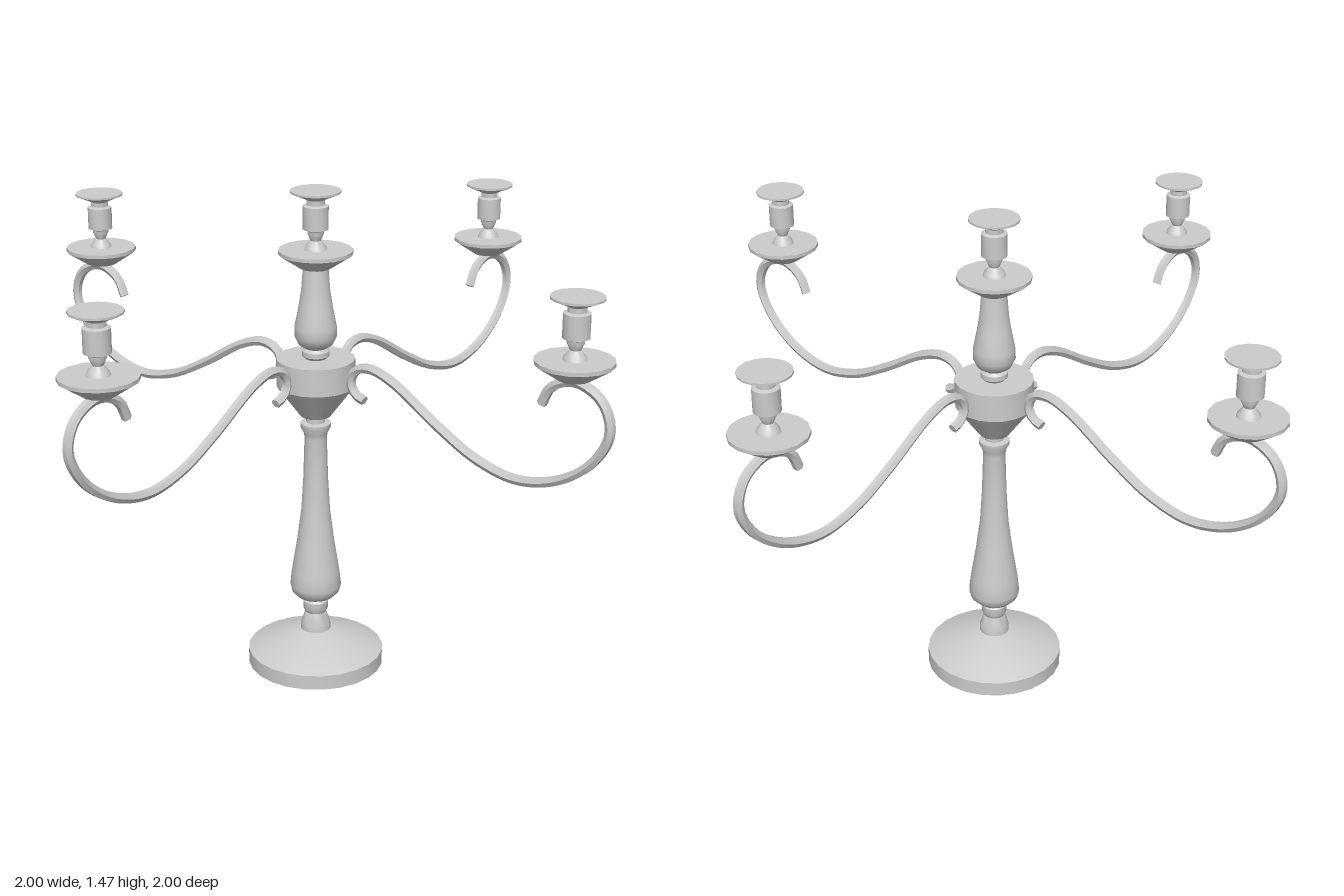
import * as THREE from 'three';
import { toCreasedNormals } from 'three/addons/utils/BufferGeometryUtils.js';

const material = new THREE.MeshStandardMaterial({ color: 0xcccccc });

// Turned part from [radius, height] pairs, bottom to top
function turned(name, profile, sides) {
  const points = profile.map(([r, y]) => new THREE.Vector2(r, y));
  const geometry = toCreasedNormals(new THREE.LatheGeometry(points, sides), 0.6);
  const mesh = new THREE.Mesh(geometry, material);
  mesh.name = name;
  return mesh;
}

// Drip pan, stem, cup and flange; origin at the underside of the pan
function candleHolder(name) {
  const group = new THREE.Group();
  group.name = name;
  group.add(
    turned('dripPan', [[0, 0], [0.045, 0], [0.108, 0.042], [0.108, 0.053], [0, 0.053]], 16),
    turned('candleCup', [
      [0.034, 0.05], [0.03, 0.062], [0.015, 0.08], [0.024, 0.1], [0.024, 0.108], [0.037, 0.113],
      [0.037, 0.18], [0.026, 0.184], [0.026, 0.198], [0.04, 0.205], [0.073, 0.219], [0.073, 0.225], [0, 0.225],
    ], 16),
  );
  return group;
}

// Scrolled arm swept along a planar curve, running out along +x
function scrollArm() {
  const path = new THREE.CatmullRomCurve3([
    [0.18, 0.885], [0.148, 0.897], [0.13, 0.93], [0.148, 0.97], [0.2, 0.985], [0.28, 0.962],
    [0.44, 0.868], [0.57, 0.804], [0.705, 0.778], [0.84, 0.812], [0.945, 0.893],
    [0.987, 0.985], [0.957, 1.062], [0.875, 1.097], [0.802, 1.067], [0.775, 1.015],
  ].map(([x, y]) => new THREE.Vector3(x, y, 0)));
  const sides = 6, steps = 64;
  const arm = new THREE.Group();
  arm.name = 'scrollArm';
  const tube = new THREE.Mesh(
    toCreasedNormals(new THREE.TubeGeometry(path, steps, 0.0145, sides), 0.6), material);
  tube.name = 'armTube';
  arm.add(tube);
  // End caps
  for (const t of [0, 1]) {
    const cap = new THREE.Mesh(new THREE.CircleGeometry(0.0145, sides), material);
    cap.name = 'armEnd';
    cap.position.copy(path.getPointAt(t));
    cap.lookAt(cap.position.clone().addScaledVector(path.getTangentAt(t), t ? 1 : -1));
    arm.add(cap);
  }
  return arm;
}

export function createModel() {
  const model = new THREE.Group();
  model.name = 'candelabrum';

  model.add(
    turned('base', [[0, 0], [0.205, 0], [0.205, 0.045], [0.05, 0.108], [0, 0.108]], 24),
    turned('column', [
      [0.045, 0.105], [0.045, 0.125], [0.032, 0.165], [0.038, 0.178], [0.038, 0.2], [0.032, 0.208],
      [0.055, 0.218], [0.072, 0.235], [0.077, 0.255], [0.072, 0.3], [0.056, 0.4], [0.043, 0.5],
      [0.037, 0.6], [0.033, 0.73], [0.035, 0.745], [0.045, 0.765], [0.045, 0.777], [0.028, 0.78], [0.028, 0.805],
    ], 20),
    turned('hub', [[0, 0.8], [0.045, 0.8], [0.115, 0.895], [0.115, 0.977], [0, 0.977]], 20),
    turned('upperStem', [
      [0.03, 0.975], [0.04, 0.985], [0.04, 1.0], [0.032, 1.008], [0.05, 1.02], [0.062, 1.045],
      [0.061, 1.075], [0.05, 1.13], [0.042, 1.18], [0.036, 1.255],
    ], 20),
  );

  const centreHolder = candleHolder('centreCandleHolder');
  centreHolder.position.y = 1.248;
  model.add(centreHolder);

  // Four arms, each carrying a candle holder
  for (let i = 0; i < 4; i++) {
    const branch = new THREE.Group();
    branch.name = 'branch' + (i + 1);
    const holder = candleHolder('armCandleHolder');
    holder.position.set(0.87, 1.105, 0);
    branch.add(scrollArm(), holder);
    branch.rotation.y = i * Math.PI / 2;
    model.add(branch);
  }
  return model;
}
